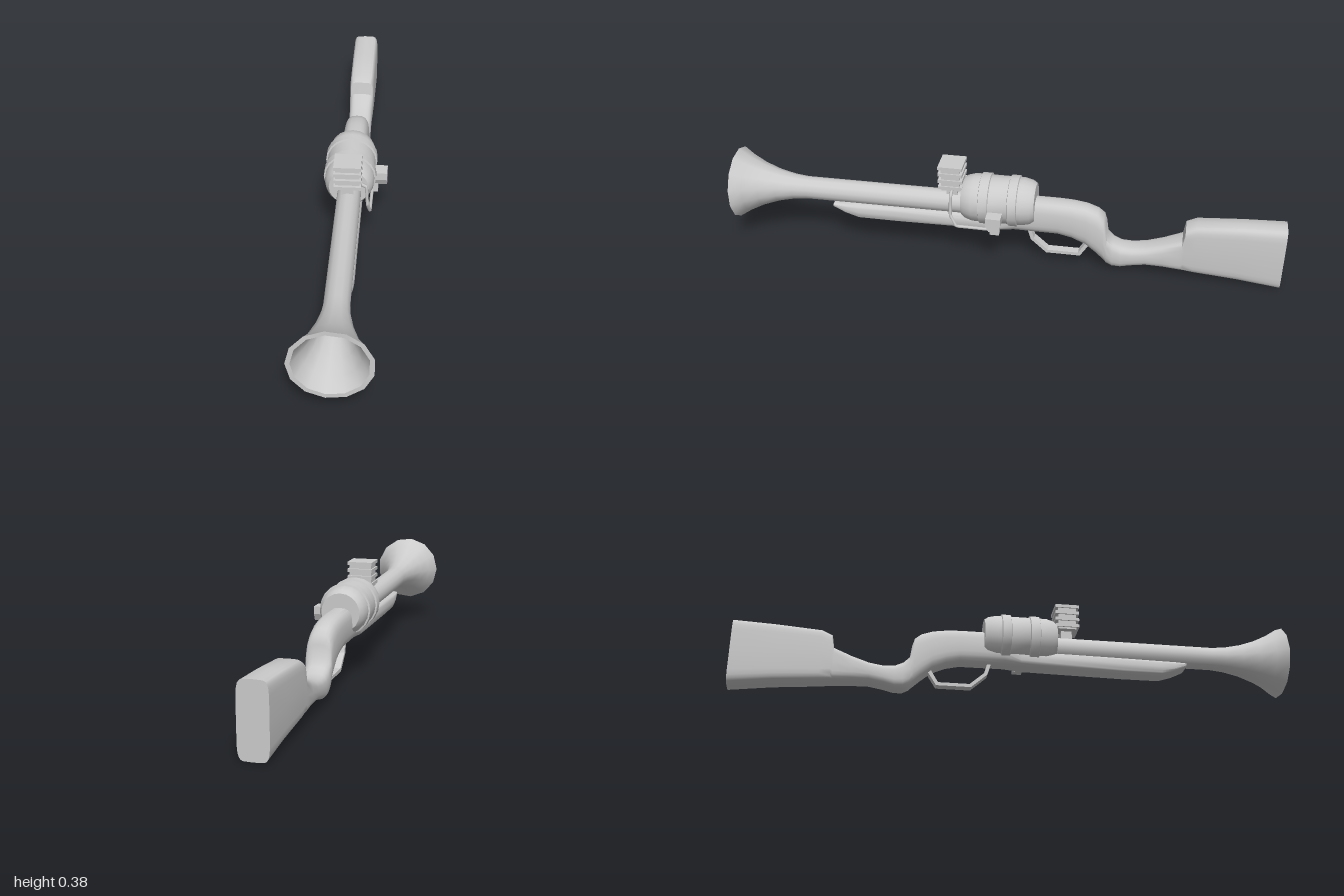
import * as THREE from 'three';
import { toCreasedNormals } from 'three/addons/utils/BufferGeometryUtils.js';

const material = new THREE.MeshStandardMaterial({ color: 0xcccccc });
const doubleSided = new THREE.MeshStandardMaterial({ color: 0xcccccc, side: THREE.DoubleSide });

function add(parent, name, geometry, x = 0, y = 0, z = 0, mat = material) {
  const mesh = new THREE.Mesh(geometry, mat);
  mesh.name = name;
  mesh.position.set(x, y, z);
  parent.add(mesh);
  return mesh;
}

// Lathe around the z axis; points are [radius, z]
function latheZ(points, sides, crease) {
  const g = new THREE.LatheGeometry(points.map(p => new THREE.Vector2(...p)), sides, -Math.PI / 2);
  return toCreasedNormals(g.rotateX(Math.PI / 2), crease);
}

// Loft of superellipse sections running toward -z: [z, bottom, top, halfWidth, squareness]
function loft(sections, n = 24) {
  const pos = [], index = [];
  const power = (v, e) => Math.sign(v) * Math.abs(v) ** (2 / e);
  for (const [z, bottom, top, w, e] of sections) {
    for (let j = 0; j < n; j++) {
      const a = (j / n) * Math.PI * 2;
      pos.push(w * power(Math.cos(a), e), (top + bottom) / 2 + (top - bottom) / 2 * power(Math.sin(a), e), z);
    }
  }
  const last = sections.length - 1;
  for (let i = 0; i < last; i++) {
    for (let j = 0; j < n; j++) {
      const a = i * n + j, b = i * n + (j + 1) % n;
      index.push(a, a + n, b, b, a + n, b + n);
    }
  }
  for (const i of [0, last]) {
    const [z, bottom, top] = sections[i], c = pos.length / 3;
    pos.push(0, (top + bottom) / 2, z);
    for (let j = 0; j < n; j++) {
      const a = i * n + j, b = i * n + (j + 1) % n;
      if (i === 0) index.push(c, a, b); else index.push(c, b, a);
    }
  }
  const g = new THREE.BufferGeometry();
  g.setAttribute('position', new THREE.Float32BufferAttribute(pos, 3));
  g.setIndex(index);
  return toCreasedNormals(g, 0.8);
}

// Side outline of [z, y] points extruded across x and centred on x = 0
function sideShape(points, width, hole) {
  const toVec = p => new THREE.Vector2(-p[0], p[1]);
  const shape = new THREE.Shape(points.map(toVec));
  if (hole) shape.holes.push(new THREE.Path(hole.map(toVec)));
  const g = new THREE.ExtrudeGeometry(shape, { depth: width, bevelEnabled: false });
  return g.translate(0, 0, -width / 2).rotateY(Math.PI / 2);
}

export function createModel() {
  const model = new THREE.Group();
  model.name = 'blunderbuss';

  // Barrel with flared, hollow muzzle
  add(model, 'barrel', latheZ([
    [0, -0.1], [0.042, -0.1], [0.042, 0.74], [0.047, 0.79], [0.06, 0.85], [0.081, 0.91], [0.106, 0.96], [0.132, 1],
    [0.117, 1], [0.092, 0.955], [0.069, 0.905], [0.05, 0.845], [0.04, 0.79], [0.04, 0.75], [0, 0.75],
  ], 13, 0.6), 0, 0.225, 0);

  // Fore-end, receiver, grip and butt in one piece
  add(model, 'stock', loft([
    [0.635, 0.172, 0.187, 0.036, 4], [0.59, 0.149, 0.19, 0.041, 4], [0.54, 0.133, 0.191, 0.043, 4],
    [0.4, 0.132, 0.193, 0.043, 4], [0.1, 0.136, 0.195, 0.044, 4], [0.02, 0.138, 0.2, 0.045, 4],
    [-0.04, 0.139, 0.267, 0.046, 3], [-0.2, 0.138, 0.267, 0.046, 3], [-0.25, 0.126, 0.265, 0.046, 3],
    [-0.3, 0.104, 0.258, 0.046, 3], [-0.34, 0.07, 0.244, 0.046, 3], [-0.363, 0.048, 0.225, 0.046, 3],
    [-0.372, 0.04, 0.195, 0.046, 3], [-0.378, 0.034, 0.15, 0.046, 3], [-0.4, 0.023, 0.127, 0.046, 3],
    [-0.43, 0.023, 0.112, 0.046, 3], [-0.47, 0.034, 0.109, 0.046, 3], [-0.52, 0.043, 0.117, 0.046, 3],
    [-0.58, 0.042, 0.137, 0.046, 3.5], [-0.645, 0.039, 0.163, 0.048, 4.5], [-0.653, 0.039, 0.212, 0.048, 5],
    [-0.69, 0.036, 0.228, 0.049, 6], [-0.85, 0.023, 0.24, 0.05, 6], [-1, 0.004, 0.247, 0.05, 6],
  ]));

  // Drum around the breech, with two raised bands
  add(model, 'drum', latheZ([
    [0, -0.115], [0.07, -0.115], [0.08, -0.1], [0.087, -0.07], [0.087, -0.055], [0.093, -0.053], [0.093, -0.022],
    [0.087, -0.02], [0.087, 0.048], [0.093, 0.05], [0.093, 0.083], [0.087, 0.085], [0.087, 0.11], [0.08, 0.135],
    [0.07, 0.15], [0, 0.15],
  ], 20, 0.5), -0.002, 0.249, 0);

  // Finned sight
  const sight = new THREE.Group();
  sight.name = 'sight';
  sight.position.set(-0.002, 0, 0.19);
  model.add(sight);
  add(sight, 'sightCore', new THREE.BoxGeometry(0.084, 0.09, 0.066), 0, 0.335, 0);
  add(sight, 'sightFoot', new THREE.BoxGeometry(0.04, 0.05, 0.04), 0, 0.272, 0);
  for (let i = 0; i < 4; i++) {
    add(sight, 'sightFin', new THREE.BoxGeometry(0.094, 0.012, 0.088), 0, 0.381 - i * 0.026, 0);
  }

  // Bent rod from the sight to the cocking lever
  const rod = new THREE.CurvePath();
  const bends = [[0.035, 0.295, 0.185], [0.062, 0.28, 0.185], [0.066, 0.205, 0.187], [0.074, 0.165, 0.165], [0.076, 0.165, 0.03]]
    .map(p => new THREE.Vector3(...p));
  for (let i = 1; i < bends.length; i++) rod.add(new THREE.LineCurve3(bends[i - 1], bends[i]));
  add(model, 'leverRod', new THREE.TubeGeometry(rod, 40, 0.006, 6), 0, 0, 0, doubleSided);

  // Cocking lever on the left side
  const lever = new THREE.Group();
  lever.name = 'lever';
  model.add(lever);
  add(lever, 'leverHead', sideShape([[0.048, 0.243], [0.048, 0.215], [0.036, 0.19], [0.006, 0.19], [-0.006, 0.215], [-0.006, 0.243]], 0.055), 0.102, 0, 0);
  add(lever, 'leverArm', sideShape([[0.038, 0.2], [0.038, 0.157], [0.004, 0.157], [0.004, 0.2]], 0.03), 0.082, 0, 0);

  // Trigger guard
  add(model, 'triggerGuard', sideShape(
    [[-0.085, 0.15], [-0.1, 0.1], [-0.158, 0.048], [-0.282, 0.048], [-0.318, 0.105], [-0.25, 0.15]], 0.032,
    [[-0.1, 0.145], [-0.112, 0.105], [-0.163, 0.06], [-0.275, 0.06], [-0.302, 0.105], [-0.245, 0.145]]));

  return model;
}
